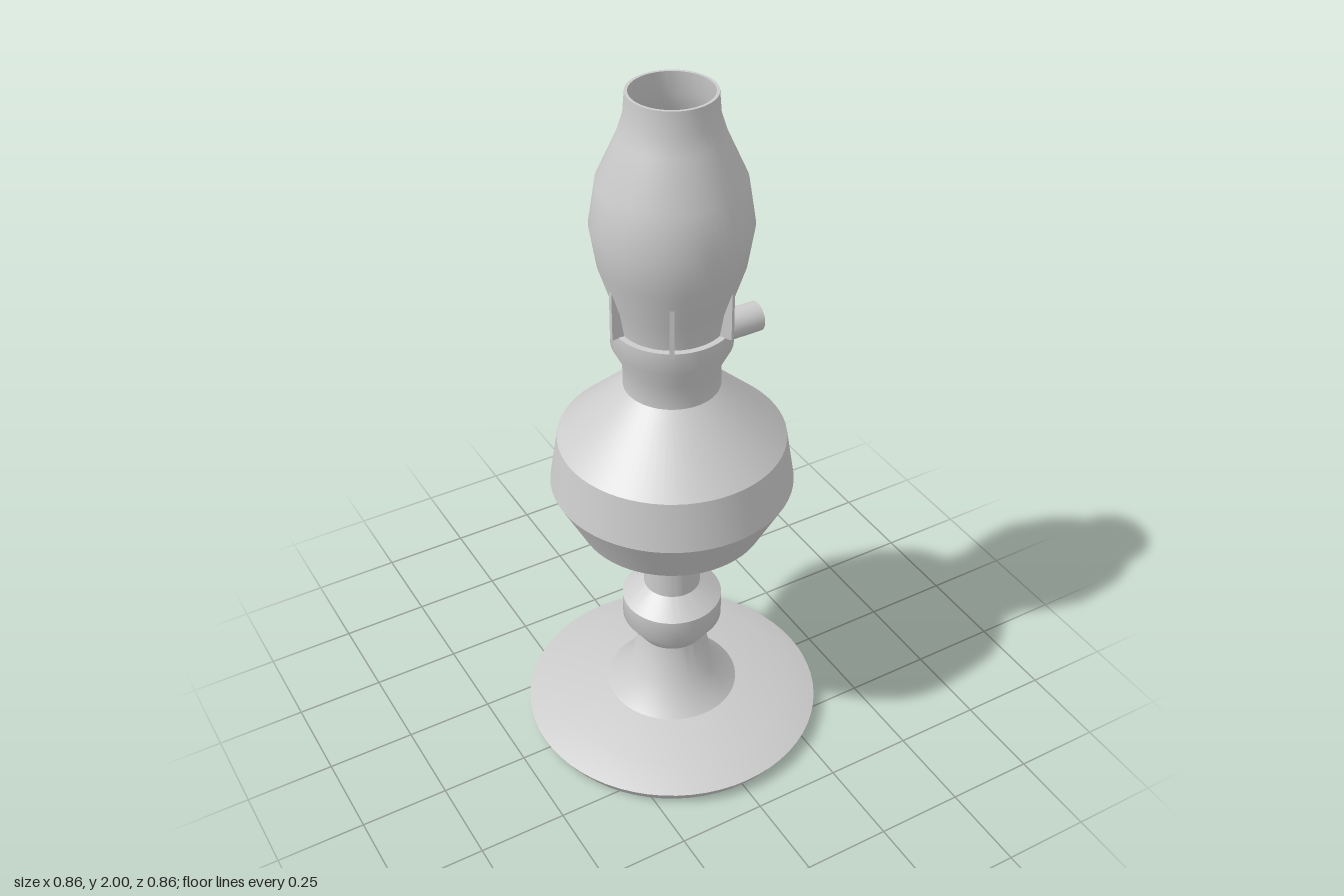
import * as THREE from 'three';
import { toCreasedNormals } from 'three/addons/utils/BufferGeometryUtils.js';

const SEGMENTS = 64;

export function createModel() {
  const lamp = new THREE.Group();
  lamp.name = 'oilLamp';
  const material = new THREE.MeshStandardMaterial({ color: 0xcccccc });
  const thin = new THREE.MeshStandardMaterial({ color: 0xcccccc, side: THREE.DoubleSide });

  function add(name, geometry, mat = material) {
    const mesh = new THREE.Mesh(geometry, mat);
    mesh.name = name;
    lamp.add(mesh);
    return mesh;
  }

  // Turned part from [radius, height] points, listed from bottom to top
  function turned(name, profile, mat, crease = 0.6) {
    const points = profile.map(([r, y]) => new THREE.Vector2(r, y));
    return add(name, toCreasedNormals(new THREE.LatheGeometry(points, SEGMENTS), crease), mat);
  }

  // Flared foot
  turned('foot', [
    [0, 0], [0.405, 0], [0.428, 0.038], [0.34, 0.07], [0.19, 0.097], [0.12, 0.17], [0.095, 0.29],
  ]);

  // Knop and stem
  turned('stem', [
    [0.095, 0.29], [0.142, 0.36], [0.142, 0.432], [0.08, 0.478], [0.08, 0.625],
  ]);

  // Oil reservoir
  turned('reservoir', [
    [0.08, 0.622], [0.26, 0.717], [0.333, 0.86], [0.31, 1.002], [0.13, 1.17],
  ]);

  // Burner collar with its gallery ledge and low inner dome
  turned('burner', [
    [0.13, 1.17], [0.13, 1.24], [0.16, 1.3], [0.16, 1.362], [0.13, 1.362],
    [0.115, 1.385], [0.08, 1.41], [0.04, 1.425], [0, 1.43],
  ]);

  // Glass chimney: outer wall, rim, inner wall
  const outer = [
    [0.143, 1.36], [0.155, 1.43], [0.19, 1.54], [0.207, 1.65],
    [0.188, 1.77], [0.134, 1.89], [0.118, 1.94], [0.113, 2],
  ];
  const inner = outer.map(([r, y]) => [r - 0.008, y]).reverse();
  turned('chimney', [...outer, ...inner], thin, 0.7);

  // Prongs holding the chimney
  for (let i = 0; i < 6; i++) {
    const angle = (i * Math.PI) / 3;
    const prong = add('prong', new THREE.BoxGeometry(0.038, 0.145, 0.013));
    prong.position.set(Math.cos(angle) * 0.158, 1.4325, Math.sin(angle) * 0.158);
    prong.rotation.y = -angle;
  }

  // Wick knob on the left side
  const knob = add('wickKnob', new THREE.CylinderGeometry(0.041, 0.041, 0.12, 32));
  knob.rotation.z = -Math.PI / 2;
  knob.position.set(0.2, 1.29, 0);

  return lamp;
}
